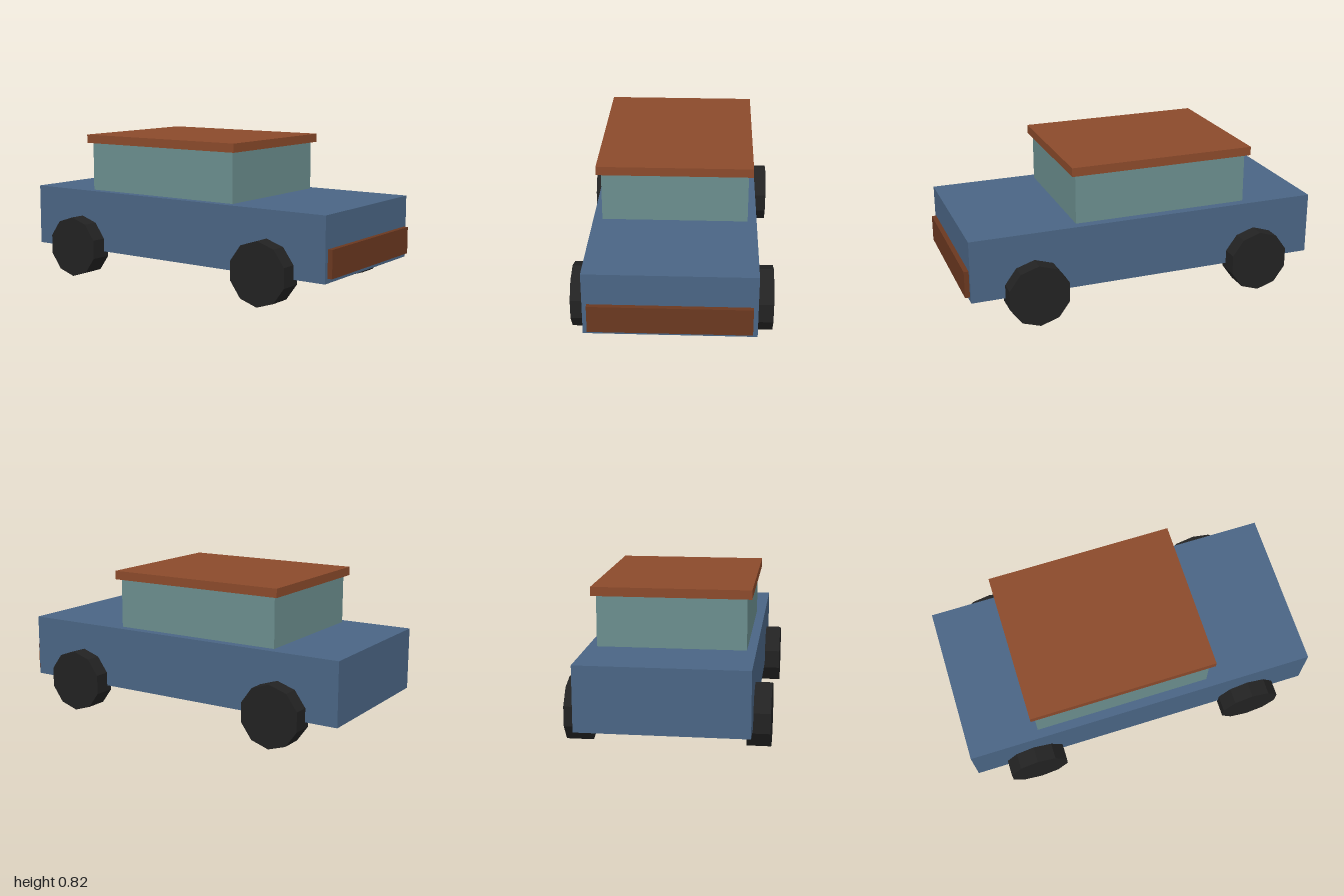
import * as THREE from 'three';

const paint = (name, color, flatShading = false) =>
  Object.assign(new THREE.MeshStandardMaterial({ color, flatShading }), { name });

export function createModel() {
  const car = new THREE.Group();
  car.name = 'car';
  const blue = paint('bodyBlue', 0x4a6584);
  const glass = paint('cabinTeal', 0x6b8e8e);
  const brown = paint('roofBrown', 0x8b4a2b);
  const darkBrown = paint('bumperBrown', 0x6b3820);
  const rubber = paint('tyreBlack', 0x222222, true);

  // Box given by its x range, y range and full width in z
  const box = (name, x0, x1, y0, y1, width, material) => {
    const mesh = new THREE.Mesh(new THREE.BoxGeometry(x1 - x0, y1 - y0, width), material);
    mesh.position.set((x0 + x1) / 2, (y0 + y1) / 2, 0);
    mesh.name = name;
    car.add(mesh);
  };
  box('body', -1, 0.974, 0.15, 0.495, 0.886, blue);
  box('cabin', -0.605, 0.38, 0.495, 0.77, 0.788, glass);
  box('roof', -0.63, 0.404, 0.768, 0.816, 0.837, brown);
  box('bumper', 0.97, 1, 0.175, 0.323, 0.837, darkBrown);

  // Four ten-sided wheels, a corner of each touching the ground
  const wheelGeometry = new THREE.CylinderGeometry(0.172, 0.172, 0.123, 10).rotateX(Math.PI / 2);
  for (const [end, x] of [['rear', -0.655], ['front', 0.627]]) {
    for (const [side, z] of [['Right', 0.47], ['Left', -0.47]]) {
      const wheel = new THREE.Mesh(wheelGeometry, rubber);
      wheel.position.set(x, 0.172, z);
      wheel.name = `${end}${side}Wheel`;
      car.add(wheel);
    }
  }
  return car;
}
